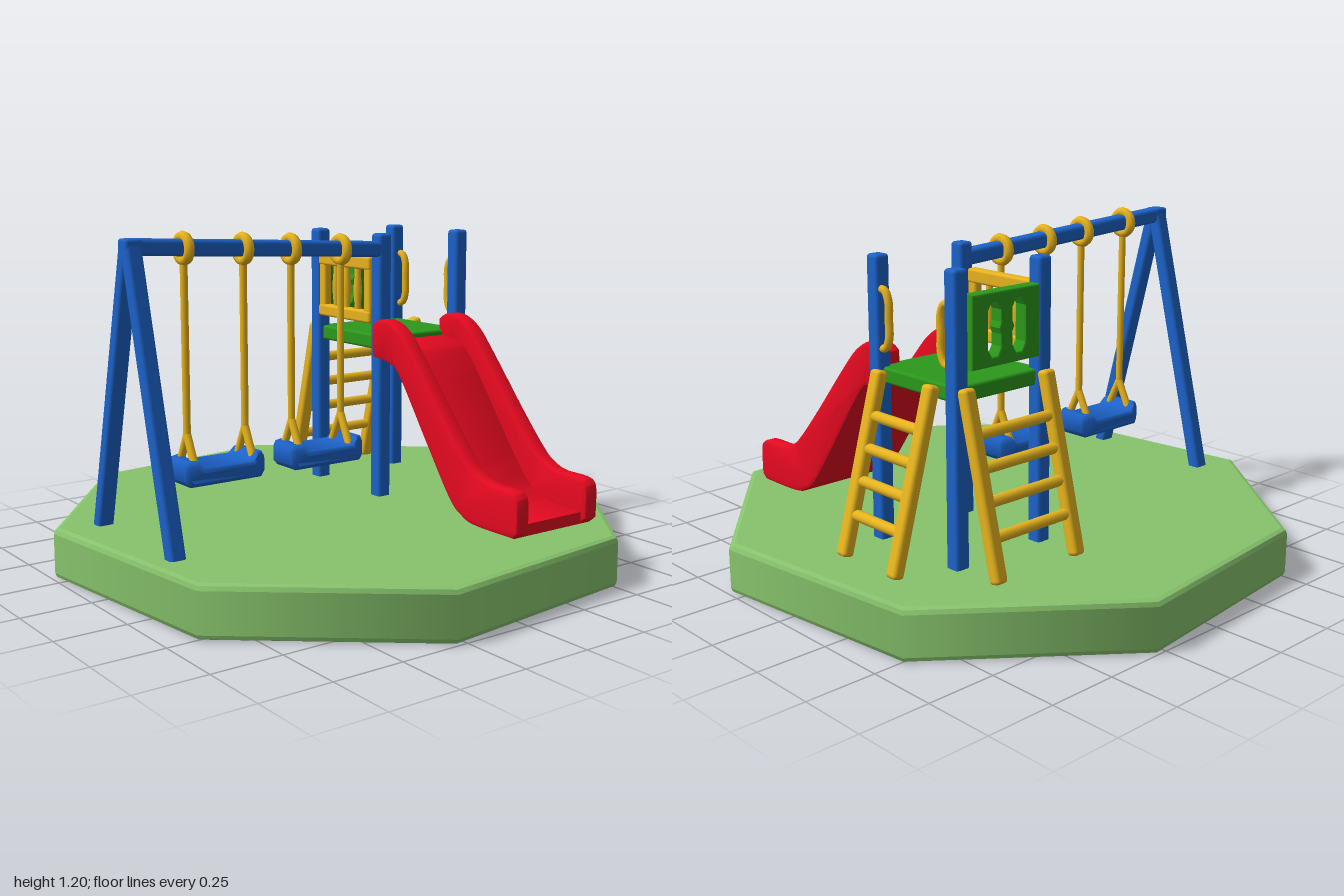
import * as THREE from 'three';
import { toCreasedNormals } from 'three/addons/utils/BufferGeometryUtils.js';
import { RoundedBoxGeometry } from 'three/addons/geometries/RoundedBoxGeometry.js';

const V = (x, y, z) => new THREE.Vector3(x, y, z);
const material = (name, color) => {
  const m = new THREE.MeshStandardMaterial({ color });
  m.name = name;
  return m;
};

export function createModel() {
  const root = new THREE.Group();
  root.name = 'playground';
  const grass = material('grass green', 0x87c36c);
  const blue = material('blue', 0x1c62c8);
  const yellow = material('yellow', 0xeab61e);
  const red = material('red', 0xee0a22);
  const green = material('panel green', 0x2b981b);

  const group = (name) => {
    const g = new THREE.Group();
    g.name = name;
    root.add(g);
    return g;
  };
  const add = (parent, name, geometry, mat) => {
    const m = new THREE.Mesh(geometry, mat);
    m.name = name;
    parent.add(m);
    return m;
  };
  const box = (parent, name, mat, w, h, d, x, y, z, r = 0.01) => {
    const m = add(parent, name, new RoundedBoxGeometry(w, h, d, 2, r), mat);
    m.position.set(x, y, z);
    return m;
  };
  // Square or round bar between two points
  const bar = (parent, name, mat, a, b, w, d, round = false) => {
    const len = a.distanceTo(b);
    const geo = round ? new THREE.CylinderGeometry(w, w, len, 12) : new RoundedBoxGeometry(w, len, d, 2, 0.014);
    const m = add(parent, name, geo, mat);
    m.position.copy(a).add(b).multiplyScalar(0.5);
    m.quaternion.setFromUnitVectors(V(0, 1, 0), b.clone().sub(a).normalize());
    return m;
  };
  // Bevelled extrusion, centred on its depth
  const extrude = (shape, depth, bevel, crease = 0.6) => {
    const geo = new THREE.ExtrudeGeometry(shape, {
      depth: depth - 2 * bevel, bevelThickness: bevel, bevelSize: bevel, bevelOffset: -bevel,
      bevelSegments: 2, curveSegments: 10,
    });
    geo.translate(0, 0, bevel - depth / 2);
    return toCreasedNormals(geo, crease);
  };
  const polygon = (pts) => new THREE.Shape(pts.map(([x, y]) => new THREE.Vector2(x, y)));
  const smooth = (pts, n) => new THREE.SplineCurve(pts.map(([x, y]) => new THREE.Vector2(x, y))).getPoints(n);

  // Octagonal ground slab, with softly shaded sides
  const ground = extrude(polygon([[0.29, 1], [-0.5, 0.91], [-0.99, 0.3], [-0.9, -0.51],
    [-0.29, -1], [0.5, -0.91], [0.99, -0.3], [0.9, 0.51]]), 0.18, 0.02, 0.3);
  ground.rotateX(-Math.PI / 2).translate(0, 0.09, 0);
  const gp = ground.attributes.position, gn = ground.attributes.normal;
  for (let i = 0; i < gp.count; i++) {
    const ny = gn.getY(i);
    if (Math.abs(ny) > 0.99) continue;
    const k = Math.sqrt(1 - ny * ny) / Math.hypot(gp.getX(i), gp.getZ(i));
    gn.setXYZ(i, gp.getX(i) * k, ny, gp.getZ(i) * k);
  }
  add(root, 'ground', ground, grass);

  // Tower: posts and deck
  const tower = group('tower');
  for (const x of [0.195, 0.56])
    for (const z of [0, -0.382]) box(tower, 'post', blue, 0.056, 0.99, 0.056, x, 0.662, z, 0.012);
  box(tower, 'deck', green, 0.38, 0.055, 0.4, 0.378, 0.755, -0.19);

  // Back panel with two elongated holes
  const panel = polygon([[-0.147, -0.12], [0.147, -0.12], [0.147, 0.12], [-0.147, 0.12]]);
  for (const cx of [-0.055, 0.051])
    panel.holes.push(new THREE.Path([[-0.012, -0.088], [-0.028, -0.06], [-0.028, -0.02], [-0.02, 0], [-0.028, 0.02],
      [-0.028, 0.06], [-0.012, 0.088], [0.012, 0.088], [0.028, 0.06], [0.028, -0.06], [0.012, -0.088]]
      .map(([x, y]) => new THREE.Vector2(cx + x * (cx < 0 ? -1 : 1), y))));
  add(tower, 'backPanel', extrude(panel, 0.05, 0.006, 0.3), green).position.set(0.372, 0.95, -0.387);

  // Side fence with balusters
  const fence = group('fence');
  for (const [y, h] of [[1.045, 0.05], [0.847, 0.046]])
    box(fence, 'fenceRail', yellow, 0.04, h, 0.32, 0.184, y, -0.195);
  for (const z of [-0.055, -0.335]) box(fence, 'fenceEnd', yellow, 0.034, 0.22, 0.04, 0.184, 0.945, z);
  for (const z of [-0.128, -0.195, -0.262]) {
    const m = add(fence, 'baluster', new THREE.LatheGeometry([[0.012, -0.09], [0.013, -0.05], [0.017, 0],
      [0.013, 0.05], [0.012, 0.09]].map(([r, y]) => new THREE.Vector2(r, y)), 10), yellow);
    m.position.set(0.184, 0.94, z);
  }

  // Grab handles beside the side ladder
  for (const [z, s] of [[-0.015, -1], [-0.367, 1]]) {
    const path = new THREE.CatmullRomCurve3([[0, 0.845], [0.03, 0.85], [0.047, 0.885], [0.047, 0.945],
      [0.047, 1.005], [0.03, 1.04], [0, 1.045]].map(([d, y]) => V(0.568, y, z + s * d)));
    add(tower, 'grabHandle', new THREE.TubeGeometry(path, 24, 0.014, 8), yellow);
  }

  // Ladders, built leaning towards +z and then turned
  const ladder = (name, halfWidth, reach, x, z, turn) => {
    const g = group(name);
    for (const s of [-1, 1])
      bar(g, 'ladderRail', yellow, V(s * halfWidth, 0.785, 0), V(s * halfWidth, 0.18, reach), 0.05, 0.045);
    for (const y of [0.64, 0.535, 0.43, 0.32]) {
      const rz = reach * (0.785 - y) / 0.605;
      bar(g, 'rung', yellow, V(-halfWidth, y, rz), V(halfWidth, y, rz), 0.019, 0, true);
    }
    g.position.set(x, 0, z);
    g.rotation.y = turn;
  };
  ladder('sideLadder', 0.13, 0.165, 0.605, -0.184, Math.PI / 2);
  ladder('backLadder', 0.175, 0.15, 0.382, -0.422, Math.PI);

  // Slide: two side walls and the bed, sharing one underside curve
  const slide = group('slide');
  const under = smooth([[0.75, 0.19], [0.57, 0.192], [0.5, 0.21], [0.43, 0.262], [0.3, 0.44],
    [0.15, 0.65], [0.09, 0.69], [-0.01, 0.705]], 40);
  const wallTop = smooth([[-0.012, 0.825], [0.025, 0.845], [0.09, 0.845], [0.165, 0.805], [0.25, 0.715], [0.4, 0.54],
    [0.51, 0.42], [0.565, 0.375], [0.63, 0.353], [0.73, 0.35], [0.765, 0.335], [0.775, 0.3], [0.775, 0.21]], 60);
  const bedTop = smooth([[-0.01, 0.764], [0.1, 0.75], [0.17, 0.705], [0.3, 0.535], [0.46, 0.325],
    [0.54, 0.26], [0.62, 0.238], [0.755, 0.233]], 40);
  const slidePart = (name, top, width, x, bevel) => {
    const outline = [...top, ...under].reverse();
    const geo = extrude(new THREE.Shape(outline), width, bevel);
    geo.rotateY(-Math.PI / 2);
    add(slide, name, geo, red).position.x = x;
  };
  slidePart('slideWall', wallTop, 0.06, 0.188, 0.014);
  slidePart('slideWall', wallTop, 0.06, 0.51, 0.014);
  slidePart('slideBed', bedTop, 0.3, 0.35, 0.004);

  // Swing frame
  const frame = group('swingFrame');
  bar(frame, 'topBeam', blue, V(-0.83, 1.153, 0), V(0.2, 1.1, 0), 0.056, 0.056);
  for (const s of [-1, 1])
    bar(frame, 'frameLeg', blue, V(-0.825, 1.175, 0), V(-0.825, 0.165, s * 0.255), 0.06, 0.05);
  box(frame, 'frameCap', blue, 0.06, 0.05, 0.06, -0.825, 1.155, 0);

  // Swings: seat with raised ends, ropes and beam loops
  const seatShape = polygon([[-0.158, -0.025], [-0.138, -0.045], [0.138, -0.045], [0.158, -0.025], [0.158, 0.025],
    [0.145, 0.045], [0.115, 0.045], [0.095, 0.022], [-0.095, 0.022], [-0.115, 0.045], [-0.145, 0.045], [-0.158, 0.025]]);
  const seatGeo = extrude(seatShape, 0.178, 0.016, 0.6);
  const p = seatGeo.attributes.position;
  for (let i = 0; i < p.count; i++) // narrow the ends
    p.setZ(i, p.getZ(i) * (1 - 0.28 * THREE.MathUtils.smoothstep(Math.abs(p.getX(i)), 0.1, 0.158)));
  const seat = toCreasedNormals(seatGeo, 0.9);
  for (const [cx, ropes] of [[-0.515, [-0.63, -0.4]], [-0.09, [-0.205, 0.01]]]) {
    const g = group('swing');
    add(g, 'seat', seat, blue).position.set(cx, 0.39, 0);
    for (const x of ropes) {
      const beamY = 1.153 - (x + 0.83) * 0.0515;
      const loop = add(g, 'beamLoop', new THREE.TorusGeometry(0.04, 0.018, 8, 24), yellow);
      loop.rotation.y = Math.PI / 2;
      loop.position.set(x, beamY - 0.003, 0);
      bar(g, 'rope', yellow, V(x, beamY - 0.04, 0), V(x, 0.5, 0), 0.013, 0, true);
      for (const s of [-1, 1])
        bar(g, 'ropeFork', yellow, V(x, 0.515, 0), V(x, 0.4, s * 0.055), 0.014, 0, true);
    }
  }
  return root;
}
